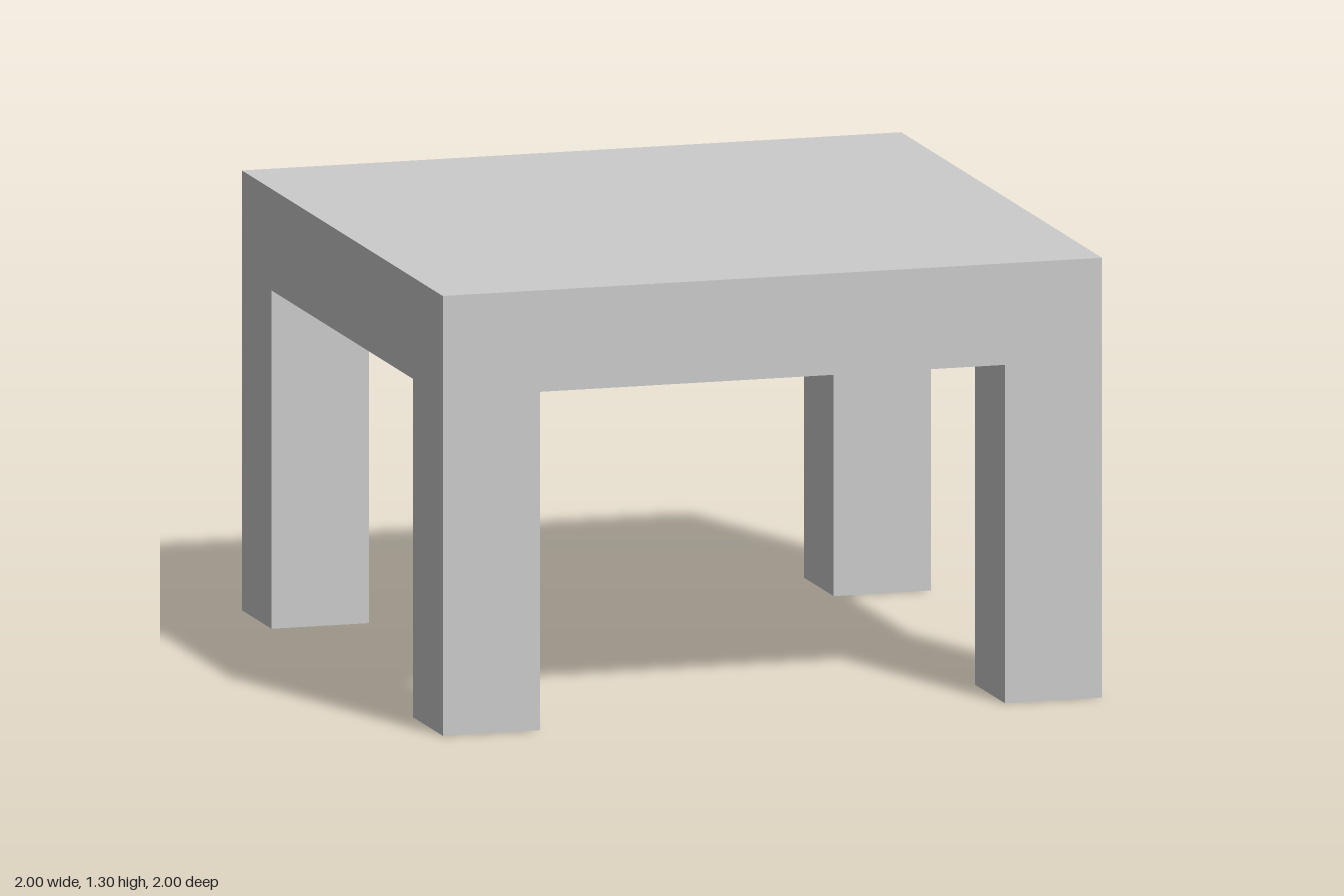
import * as THREE from 'three';

const WIDTH = 2;
const HEIGHT = 1.3;
const TOP_THICKNESS = 0.3;
const LEG_WIDTH = 0.295;

export function createModel() {
  const table = new THREE.Group();
  table.name = 'table';
  const material = new THREE.MeshStandardMaterial({ color: 0xcccccc, flatShading: true });

  function addBox(name, w, h, d, x, y, z) {
    const mesh = new THREE.Mesh(new THREE.BoxGeometry(w, h, d), material);
    mesh.name = name;
    mesh.position.set(x, y, z);
    table.add(mesh);
  }

  // Thick square top
  addBox('tableTop', WIDTH, TOP_THICKNESS, WIDTH, 0, HEIGHT - TOP_THICKNESS / 2, 0);

  // Four square legs, flush with the corners of the top
  const legHeight = HEIGHT - TOP_THICKNESS;
  const offset = (WIDTH - LEG_WIDTH) / 2;
  for (const [end, sz] of [['front', 1], ['back', -1]]) {
    for (const [side, sx] of [['Left', 1], ['Right', -1]]) {
      addBox(`${end}${side}Leg`, LEG_WIDTH, legHeight, LEG_WIDTH, sx * offset, legHeight / 2, sz * offset);
    }
  }

  return table;
}
